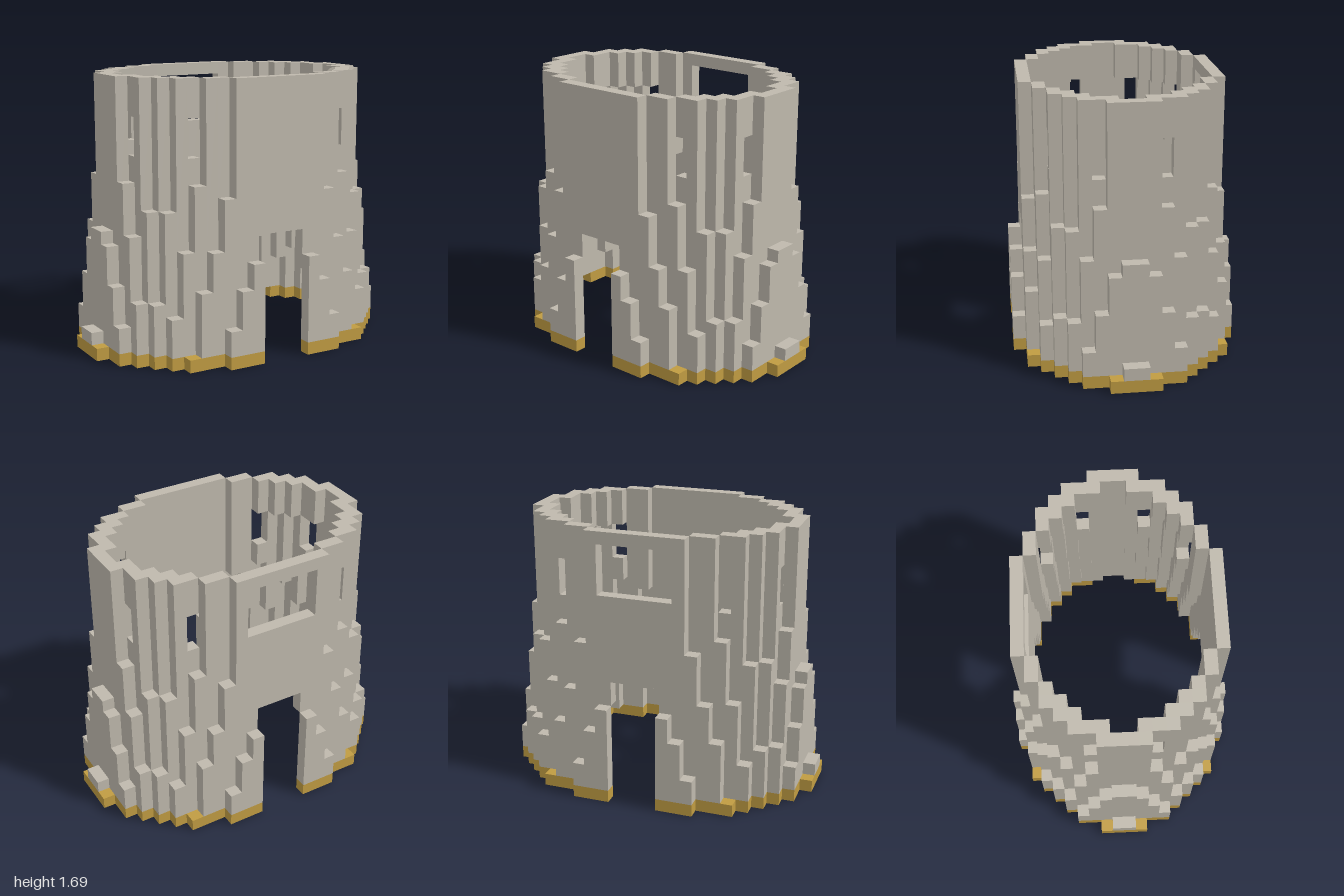
import * as THREE from 'three';
import { mergeGeometries } from 'three/addons/utils/BufferGeometryUtils.js';

const U = 1 / 13;   // one block
const TOP = 22;     // wall height in blocks
const DOOR = 10;    // doorway height in blocks

// One quadrant of the tapering tower. For each row z: the number of columns
// that reach the top, then the heights of the stepped columns outside them.
const ROWS = [
  [11, 10, 2],
  [11, 9, 1],
  [10, 14, 6],
  [10, 10, 3],
  [9, 12, 5],
  [8, 12, 5],
  [6, 14, 9, 4],
  [4, 13, 9, 6, 1],
  [0, DOOR, DOOR, 8, 6, 3],
];

function columnHeight(x, z) {
  const row = ROWS[Math.abs(z)];
  if (!row) return 0;
  return x < row[0] ? TOP : (row[1 + x - row[0]] ?? 0);
}

// Hollow shell: a block stays where one of its neighbours lies outside
function isShell(x, y, z) {
  const inside = (a, b) => columnHeight(a, b) > y;
  return inside(x, z) && !(inside(x + 1, z) && inside(x, z + 1));
}

// Doorways front and back, slit windows, and one wide window at the back
function isOpening(x, y, z, back) {
  if (x < 2 && z >= 7 && y < DOOR) return true;
  if (y >= 16 && y < 19 && ((x === 6 && z === 5) || (x === 9 && z === 2))) return true;
  return back && z === 7 && x < 3 && y >= 17 && y < 21;
}

// Upright run of blocks in a mirrored quadrant
function column(x, z, y0, y1, sx, sz) {
  return new THREE.BoxGeometry(U, (y1 - y0) * U, U)
    .translate(sx * (x + 0.5) * U, (y0 + y1) / 2 * U, sz * (z + 0.5) * U);
}

export function createModel() {
  const stone = new THREE.MeshStandardMaterial({ color: 0xbfb9ad });
  stone.name = 'stone';
  const gold = new THREE.MeshStandardMaterial({ color: 0xc09c42 });
  gold.name = 'gold';

  const wall = [], base = [], corbels = [];
  for (const sx of [-1, 1]) for (const sz of [-1, 1]) {
    for (let z = 0; z < 9; z++) for (let x = 0; x < 13; x++) {
      const solid = y => y < TOP && isShell(x, y, z) && !isOpening(x, y, z, sz < 0);
      // gold bottom course
      if (solid(0)) base.push(column(x, z, 0, 1, sx, sz));
      // stone runs above it
      for (let y = 1; y < TOP; y++) {
        if (!solid(y)) continue;
        const start = y;
        while (solid(y)) y++;
        wall.push(column(x, z, start, y, sx, sz));
      }
    }
    // short blocks hanging inside the rim
    for (const [x, z] of [[9, 1], [8, 3], [7, 4]]) corbels.push(column(x, z, 19, TOP, sx, sz));
  }

  const group = new THREE.Group();
  group.name = 'tower';
  for (const [name, parts, material] of [
    ['towerWall', wall, stone],
    ['baseCourse', base, gold],
    ['innerCorbels', corbels, stone],
  ]) {
    const mesh = new THREE.Mesh(mergeGeometries(parts), material);
    mesh.name = name;
    group.add(mesh);
  }
  return group;
}
